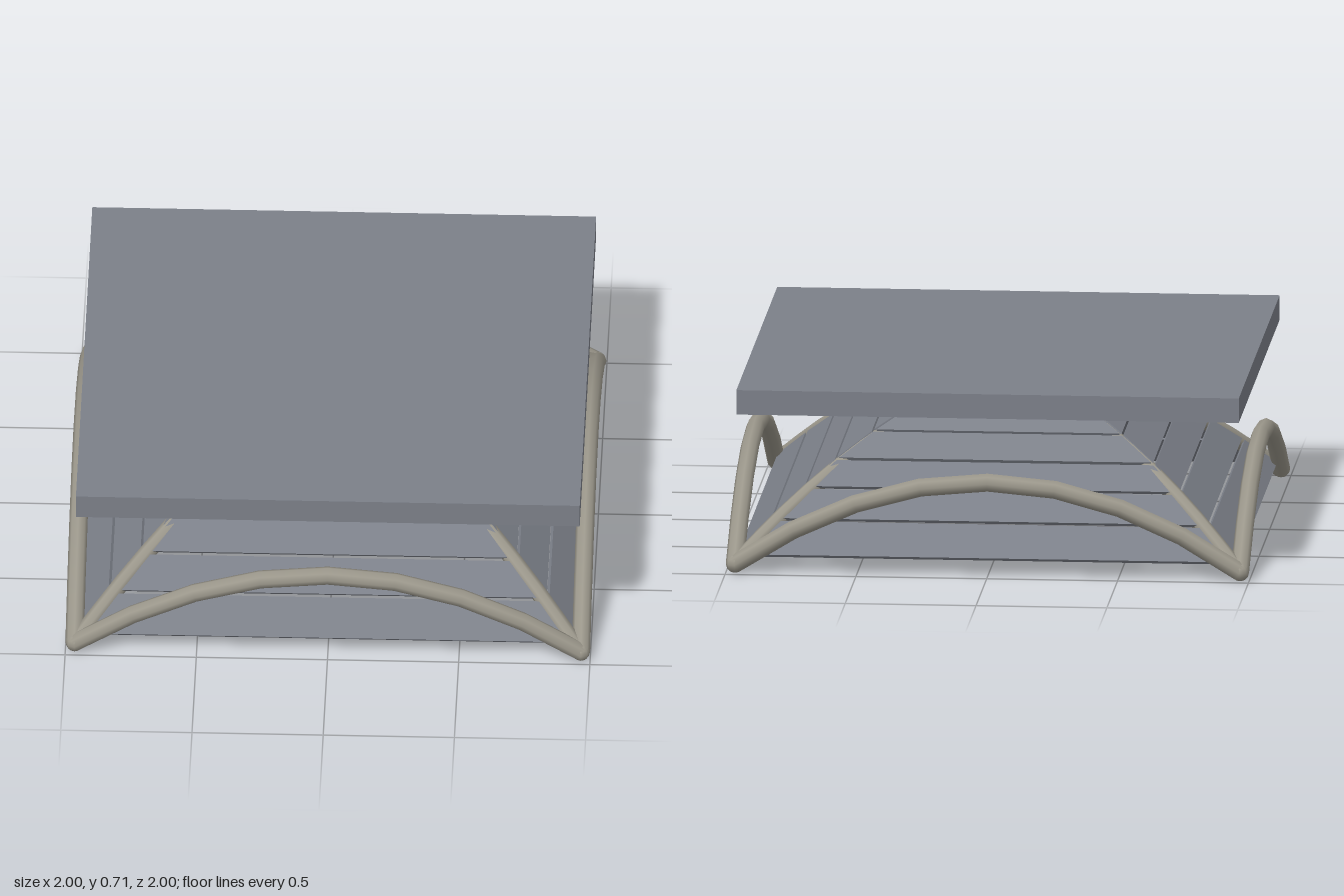
import * as THREE from 'three';

const paint = (name, color) => Object.assign(new THREE.MeshStandardMaterial({ color }), { name });

export function createModel() {
  const slate = paint('slate grey', 0x7c8089);
  const tubeGrey = paint('warm grey', 0x9b978b);
  const brass = paint('brass', 0xc8a850);
  const model = new THREE.Group();
  model.name = 'canopy';

  const add = (name, geometry, material, parent = model) => {
    const mesh = new THREE.Mesh(geometry, material);
    mesh.name = name;
    parent.add(mesh);
    return mesh;
  };

  // Flat slab on top
  add('topSlab', new THREE.BoxGeometry(1.92, 0.095, 1.92), slate).position.y = 0.662;

  // Thin flat panel between two levels [halfWidth, y] of one roof side
  const panelGeometry = (outer, inner) => {
    const geometry = new THREE.BoxGeometry(1, 1, 1);
    const p = geometry.attributes.position;
    const run = outer[0] - inner[0], rise = inner[1] - outer[1];
    const length = Math.hypot(run, rise);
    for (let i = 0; i < p.count; i++) {
      const t = p.getY(i) + 0.5;
      const depth = (0.5 - p.getZ(i)) * 0.014;
      const half = outer[0] - run * t;
      const y = outer[1] + rise * t;
      p.setXYZ(i, 2 * p.getX(i) * Math.max(half - 0.008, 0.002),
        y - depth * run / length, half - depth * rise / length);
    }
    geometry.computeVertexNormals();
    return geometry;
  };

  // Roof tiers: the lower four are separated by slits, the crown is bent
  const tiers = [
    [[0.955, 0.07], [0.84, 0.178]],
    [[0.83, 0.187], [0.722, 0.28]],
    [[0.713, 0.289], [0.613, 0.371]],
    [[0.604, 0.379], [0.482, 0.457]],
    [[0.473, 0.463], [0.36, 0.524]],
    [[0.36, 0.524], [0.25, 0.574]],
    [[0.25, 0.574], [0.11, 0.609]],
    [[0.11, 0.609], [0.004, 0.615]],
  ];

  // Edge arch, bowed in the vertical plane
  const arch = new THREE.QuadraticBezierCurve3(
    new THREE.Vector3(-0.965, 0.035, 0.965),
    new THREE.Vector3(0, 0.699, 0.965),
    new THREE.Vector3(0.965, 0.035, 0.965));
  const archGeometry = new THREE.TubeGeometry(arch, 8, 0.035, 8);

  for (let i = 0; i < 4; i++) {
    const side = new THREE.Group();
    side.name = 'side' + (i + 1);
    side.rotation.y = i * Math.PI / 2;
    model.add(side);
    for (const [outer, inner] of tiers) add('roofPanel', panelGeometry(outer, inner), slate, side);
    add('edgeArch', archGeometry, tubeGrey, side);
    add('cornerJoint', new THREE.SphereGeometry(0.035, 8, 6), tubeGrey, side)
      .position.set(0.965, 0.035, 0.965);
  }

  // Diagonal ribs under the roof, corner to corner
  for (const sign of [1, -1]) {
    const points = [];
    for (let i = -6; i <= 6; i++) {
      const x = 0.96 * i / 6;
      points.push(new THREE.Vector3(x, 0.573 - 0.538 * Math.pow(Math.abs(i) / 6, 1.8), x * sign));
    }
    add('diagonalRib',
      new THREE.TubeGeometry(new THREE.CatmullRomCurve3(points), 20, 0.032, 8), tubeGrey);
  }

  // Chamfered hub where the ribs cross
  const hubProfile = [[0, -0.04], [0.08, -0.04], [0.105, -0.018], [0.105, 0.018], [0.08, 0.04], [0, 0.04]]
    .map(([r, y]) => new THREE.Vector2(r, y));
  const hubGeometry = new THREE.LatheGeometry(hubProfile, 10).toNonIndexed();
  hubGeometry.computeVertexNormals();
  add('hub', hubGeometry, brass).position.y = 0.55;

  return model;
}
